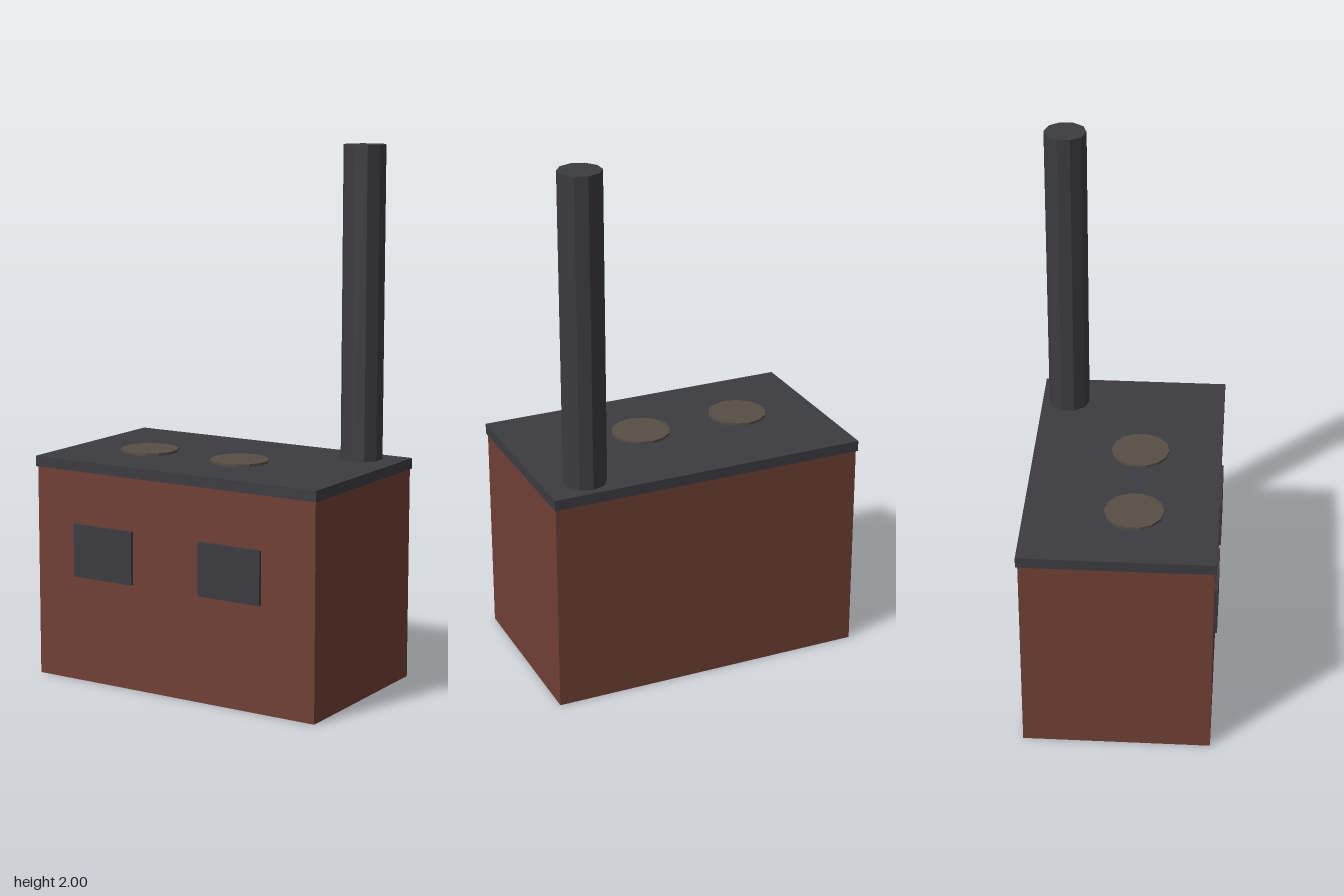
import * as THREE from 'three';

const material = (name, color) => {
  const m = new THREE.MeshStandardMaterial({ color, flatShading: true });
  m.name = name;
  return m;
};

export function createModel() {
  const group = new THREE.Group();
  group.name = 'stove';
  const brick = material('brick red', 0x704035);
  const iron = material('dark iron', 0x3c3b40);
  const burner = material('worn brown', 0x574d44);

  const add = (name, geometry, mat, x, y, z) => {
    const mesh = new THREE.Mesh(geometry, mat);
    mesh.name = name;
    mesh.position.set(x, y, z);
    group.add(mesh);
  };

  const zMid = -0.0025;

  // Body and overhanging top plate
  add('body', new THREE.BoxGeometry(1.2, 0.8, 0.7), brick, 0, 0.4, zMid);
  add('topPlate', new THREE.BoxGeometry(1.21, 0.04, 0.715), iron, 0, 0.82, zMid);

  // Two doors standing slightly proud of the front
  [['rightDoor', -0.3], ['leftDoor', 0.25]].forEach(([name, x]) =>
    add(name, new THREE.BoxGeometry(0.26, 0.2, 0.02), iron, x, 0.5, 0.35));

  // Cooking rings on the top plate
  [['rightRing', -0.3], ['leftRing', 0.1]].forEach(([name, x]) =>
    add(name, new THREE.CylinderGeometry(0.11, 0.11, 0.02, 14), burner, x, 0.84, 0.045));

  // Chimney pipe at the back corner
  add('chimney', new THREE.CylinderGeometry(0.079, 0.079, 1.17, 10), iron, 0.448, 1.415, -0.255);

  return group;
}
